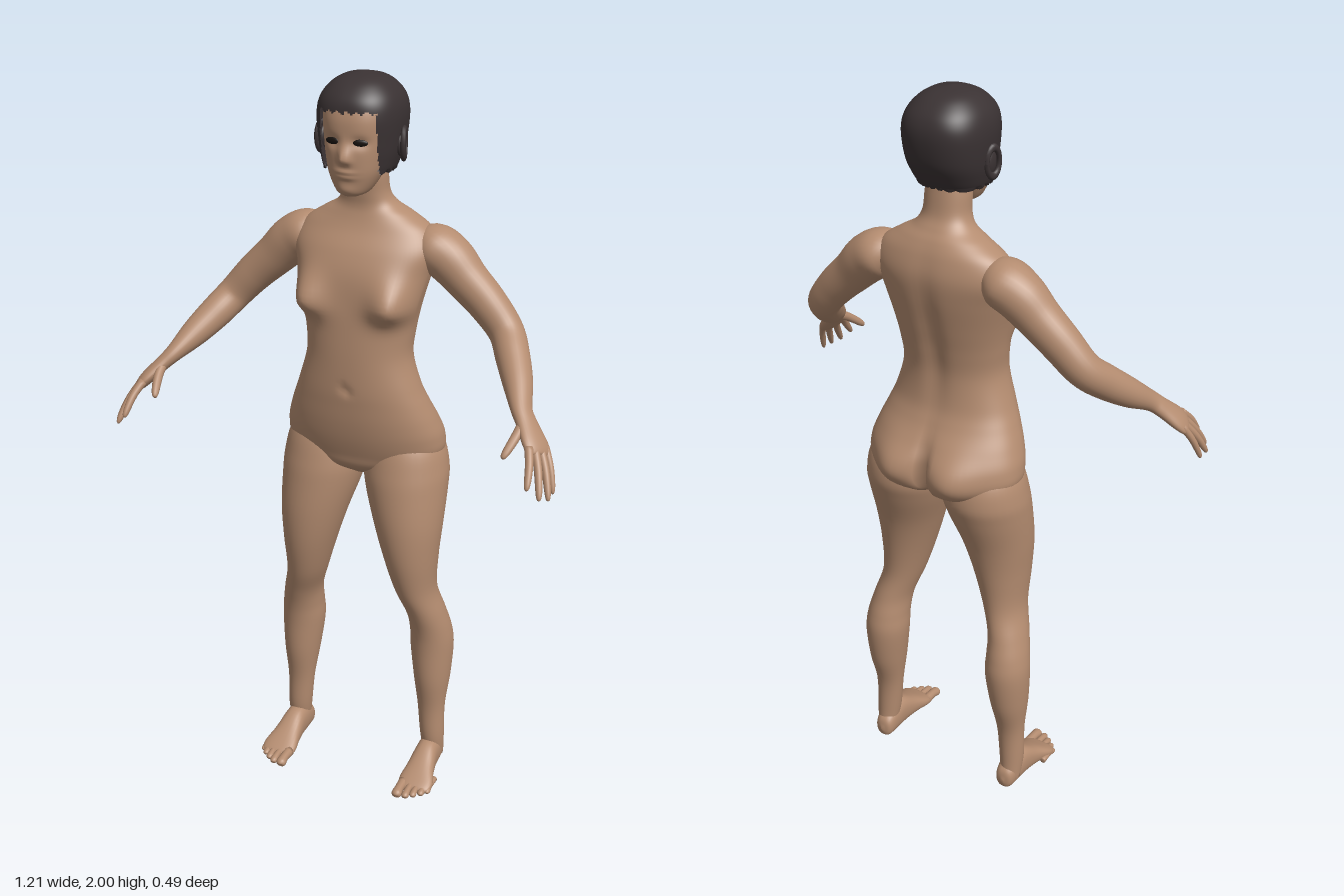
import * as THREE from 'three';

const skin = new THREE.MeshStandardMaterial({ color: 0xb48c70 });
skin.name = 'skin';
const hairMat = new THREE.MeshStandardMaterial({ color: 0x3a3233, side: THREE.DoubleSide });
hairMat.name = 'hair';
const eyeMat = new THREE.MeshStandardMaterial({ color: 0x17120f, side: THREE.DoubleSide });
eyeMat.name = 'eye';

const V = (x, y, z) => new THREE.Vector3(x, y, z);
const bump = (d, s) => Math.exp(-(d * d) / (s * s));
const spow = (v, p) => Math.sign(v) * Math.abs(v) ** p;

// Smooth closed skin through sections [x, y, z, halfWidth, halfDepth].
// axis fixes the ring plane; otherwise rings stand square to the path.
function loft(rows, { around = 20, along = 30, side = V(1, 0, 0), axis, power = 1, warp, skip } = {}) {
  const path = new THREE.CatmullRomCurve3(rows.map(r => V(r[0], r[1], r[2])), false, 'catmullrom', 0.5);
  const size = new THREE.CatmullRomCurve3(rows.map(r => V(r[3], r[4], 0)), false, 'catmullrom', 0.5);
  const pos = [], index = [];
  for (let i = 0; i <= along; i++) {
    const c = path.getPoint(i / along), s = size.getPoint(i / along);
    const t = axis || path.getTangent(i / along);
    const u = side.clone().addScaledVector(t, -side.dot(t)).normalize();
    const v = t.clone().cross(u);
    for (let j = 0; j < around; j++) {
      const a = (j / around) * Math.PI * 2;
      const p = c.clone()
        .addScaledVector(u, spow(Math.cos(a), power) * Math.max(s.x, 0.001))
        .addScaledVector(v, spow(Math.sin(a), power) * Math.max(s.y, 0.001));
      if (warp) warp(p, c, i);
      pos.push(p.x, p.y, p.z);
    }
  }
  const at = k => V(pos[3 * k], pos[3 * k + 1], pos[3 * k + 2]);
  for (let i = 0; i < along; i++) for (let j = 0; j < around; j++) {
    const a = i * around + j, b = i * around + (j + 1) % around, c = a + around, d = b + around;
    if (skip && skip(at(a).add(at(d)).multiplyScalar(0.5))) continue;
    index.push(a, b, c, b, d, c);
  }
  // Close both ends
  for (let j = 1; j < around - 1; j++) {
    const e = along * around;
    index.push(0, j + 1, j, e, e + j, e + j + 1);
  }
  const g = new THREE.BufferGeometry();
  g.setAttribute('position', new THREE.Float32BufferAttribute(pos, 3));
  g.setIndex(index);
  g.computeVertexNormals();
  return g;
}

// Mirror a geometry in x, keeping faces outward
function mirrored(g) {
  const m = g.clone().scale(-1, 1, 1), ix = m.index.array;
  for (let i = 0; i < ix.length; i += 3) [ix[i], ix[i + 1]] = [ix[i + 1], ix[i]];
  m.computeVertexNormals();
  return m;
}

const UP = V(0, 1, 0);
// [y, halfWidth, zFront, zBack] to a level section
const level = ([y, w, f, b]) => [0, y, (f + b) / 2, w, (f - b) / 2];

export function createModel() {
  const model = new THREE.Group();
  model.name = 'figure';
  const add = (name, g, mat = skin) => {
    const m = new THREE.Mesh(g, mat);
    m.name = name;
    model.add(m);
  };
  const pair = (name, g, mat) => {
    add('left' + name, g, mat);
    add('right' + name, mirrored(g), mat);
  };

  // Torso and neck
  add('torso', loft([
    [0.925, 0.03, -0.05, -0.12], [0.96, 0.15, 0, -0.195], [1, 0.215, 0.015, -0.22],
    [1.05, 0.221, 0.03, -0.22], [1.1, 0.207, 0.04, -0.2], [1.15, 0.187, 0.046, -0.175],
    [1.2, 0.167, 0.05, -0.158], [1.28, 0.144, 0.05, -0.152], [1.35, 0.148, 0.047, -0.162],
    [1.42, 0.16, 0.042, -0.178], [1.5, 0.18, 0.032, -0.195], [1.56, 0.195, 0.01, -0.2],
    [1.61, 0.172, -0.02, -0.19], [1.645, 0.122, -0.035, -0.175], [1.67, 0.08, -0.04, -0.158],
    [1.7, 0.062, -0.037, -0.142], [1.75, 0.058, -0.03, -0.135], [1.8, 0.05, -0.03, -0.13],
  ].map(level), {
    around: 80, along: 100, axis: UP, power: 0.92,
    warp(p, c) {
      const ax = Math.abs(p.x), { x, y } = p;
      if (p.z > c.z) {
        const chest = bump(ax - 0.112, 0.05) * bump(y - 1.43, y > 1.43 ? 0.065 : 0.04);
        p.z += 0.048 * chest - 0.008 * bump(x, 0.012) * bump(y - 1.2, 0.014);
        p.x += Math.sign(x) * 0.01 * chest;
      } else {
        p.z -= 0.035 * bump(ax - 0.09, 0.07) * bump(y - 1.02, 0.075);
        p.z += 0.045 * bump(x, 0.014) * bump(y - 1, 0.085);
        p.z += 0.012 * bump(x, 0.03) * bump(y - 1.38, 0.18);
      }
    },
  }));

  // Legs: [y, xInner, xOuter, zFront, zBack]
  pair('Leg', loft([
    [0.03, 0.188, 0.243, -0.075, -0.135], [0.1, 0.178, 0.247, -0.06, -0.132],
    [0.2, 0.168, 0.247, -0.058, -0.135], [0.3, 0.153, 0.257, -0.045, -0.162],
    [0.4, 0.14, 0.262, -0.042, -0.175], [0.46, 0.14, 0.256, -0.035, -0.168],
    [0.52, 0.135, 0.242, -0.018, -0.152], [0.6, 0.108, 0.222, 0.01, -0.137],
    [0.7, 0.077, 0.226, 0.032, -0.145], [0.8, 0.045, 0.234, 0.038, -0.165],
    [0.9, 0.012, 0.237, 0.03, -0.2], [0.96, 0.002, 0.234, 0.02, -0.215],
    [1.03, 0.015, 0.215, 0, -0.2], [1.1, 0.06, 0.16, -0.04, -0.14],
  ].map(([y, i, o, f, b]) => [(i + o) / 2, y, (f + b) / 2, (o - i) / 2, (f - b) / 2]),
  { around: 36, along: 70, axis: UP }));

  // Feet, flat underneath, with five toes each
  const grounded = p => { p.y = Math.max(p.y, 0.002); };
  pair('Foot', loft([
    [0.21, 0.03, -0.146, 0.004, 0.006], [0.21, 0.034, -0.135, 0.025, 0.032],
    [0.211, 0.045, -0.095, 0.032, 0.045], [0.212, 0.045, -0.05, 0.034, 0.046],
    [0.214, 0.032, 0, 0.041, 0.032], [0.217, 0.02, 0.04, 0.05, 0.021],
    [0.217, 0.014, 0.065, 0.045, 0.013], [0.217, 0.012, 0.075, 0.03, 0.006],
  ], { around: 28, along: 36, axis: V(0, 0, 1), power: 0.85, warp: grounded }));
  [[0.183, 0.116, 0.015], [0.208, 0.113, 0.011], [0.227, 0.101, 0.01], [0.245, 0.086, 0.01], [0.259, 0.07, 0.009]]
    .forEach(([x, z, r], i) => pair('Toe' + (i + 1), loft([
      [x, 0.016, z - 0.065, r, r], [x, 0.016, z - 0.03, r * 0.85, r * 0.85],
      [x, 0.012, z - 0.01, r, r * 0.9], [x, 0.011, z - 0.002, r * 0.7, r * 0.6], [x, 0.01, z, 0.001, 0.001],
    ], { around: 12, along: 14, warp: grounded })));

  // Arms flowing into flat palms
  const across = V(0.03, -0.015, -0.06).normalize();
  pair('Arm', loft([
    [0.12, 1.575, -0.115, 0.03, 0.03], [0.17, 1.565, -0.115, 0.069, 0.06],
    [0.22, 1.537, -0.113, 0.066, 0.063], [0.27, 1.49, -0.108, 0.056, 0.056],
    [0.33, 1.435, -0.102, 0.05, 0.051], [0.385, 1.375, -0.088, 0.045, 0.046],
    [0.42, 1.33, -0.04, 0.044, 0.044], [0.455, 1.285, 0.02, 0.039, 0.037],
    [0.485, 1.245, 0.08, 0.03, 0.024], [0.508, 1.22, 0.105, 0.032, 0.02],
    [0.54, 1.185, 0.135, 0.041, 0.018], [0.556, 1.165, 0.15, 0.037, 0.013],
    [0.56, 1.16, 0.154, 0.02, 0.004],
  ], { around: 28, along: 72, side: across }));

  // Fingers and thumb: base, tip, radius
  [[[0.535, 1.185, 0.168], [0.555, 1.105, 0.24], 0.0105], [[0.545, 1.18, 0.152], [0.584, 1.078, 0.228], 0.0105],
    [[0.555, 1.175, 0.136], [0.6, 1.07, 0.203], 0.01], [[0.563, 1.172, 0.12], [0.6, 1.072, 0.165], 0.009],
    [[0.503, 1.225, 0.11], [0.48, 1.16, 0.203], 0.0125]]
    .forEach(([b, t, r], i) => {
      const at = (k, f) => {
        const p = V(...b).lerp(V(...t), k).addScaledVector(V(0.5, 0.6, 0.1), 0.03 * k * (1 - k));
        return [p.x, p.y, p.z, r * f, r * f];
      };
      pair(i < 4 ? 'Finger' + (i + 1) : 'Thumb', loft(
        [at(0, 1.1), at(0.35, 1), at(0.6, 0.95), at(0.85, 0.8), at(0.97, 0.5), at(1, 0.05)],
        { around: 12, along: 18, side: across }));
    });

  // Head with modelled nose, lips and eye sockets
  add('head', loft([
    [1.708, 0.02, 0.022, -0.03], [1.72, 0.042, 0.035, -0.06], [1.76, 0.065, 0.045, -0.1],
    [1.8, 0.077, 0.048, -0.135], [1.85, 0.086, 0.047, -0.16], [1.9, 0.09, 0.045, -0.168],
    [1.94, 0.082, 0.03, -0.16], [1.97, 0.055, 0, -0.13], [1.982, 0.004, -0.06, -0.07],
  ].map(level), {
    around: 72, along: 80, axis: UP, power: 0.85,
    warp(p, c) {
      if (p.z < c.z) return;
      const ax = Math.abs(p.x), { x, y } = p;
      p.z += 0.022 * bump(x, 0.014) * bump(y - 1.805, y > 1.805 ? 0.03 : 0.012)
        + 0.005 * bump(x, 0.025) * (bump(y - 1.773, 0.006) + bump(y - 1.76, 0.006))
        + 0.006 * bump(x, 0.025) * bump(y - 1.725, 0.015)
        - 0.008 * bump(ax - 0.036, 0.02) * bump(y - 1.845, 0.014);
    },
  }));

  // Eyes
  const eye = new THREE.SphereGeometry(1, 20, 12).scale(0.019, 0.0085, 0.0045);
  eye.rotateY(0.2).translate(0.037, 1.846, 0.037);
  pair('Eye', eye, eyeMat);

  // Short hair with an opening for the face and a ragged hem
  add('hair', loft([
    [1.785, 0.07, 0.02, -0.115], [1.768, 0.086, 0.035, -0.135], [1.8, 0.098, 0.042, -0.16],
    [1.84, 0.105, 0.047, -0.18], [1.9, 0.109, 0.052, -0.19], [1.94, 0.101, 0.046, -0.182],
    [1.97, 0.08, 0.022, -0.157], [1.99, 0.05, -0.012, -0.122], [2, 0.004, -0.06, -0.07],
  ].map(level), {
    around: 120, along: 80, axis: UP, power: 0.84,
    warp(p, c, i) { if (i > 6 && i < 13) p.y += 0.005 * Math.sin(p.x * 310 + p.z * 270); },
    skip: p => p.z > 0 && Math.abs(p.x) < 0.075 && p.y < 1.918 + 0.004 * Math.sin(p.x * 260),
  }), hairMat);

  // Ears, rim and inner lobe
  const rim = new THREE.TorusGeometry(0.024, 0.007, 10, 24).scale(0.85, 1.45, 1);
  pair('EarRim', rim.rotateY(Math.PI / 2 + 0.25).translate(0.111, 1.832, -0.062), hairMat);
  const lobe = new THREE.SphereGeometry(1, 16, 12).scale(0.01, 0.03, 0.019);
  pair('EarBowl', lobe.translate(0.104, 1.83, -0.06), hairMat);

  return model;
}
